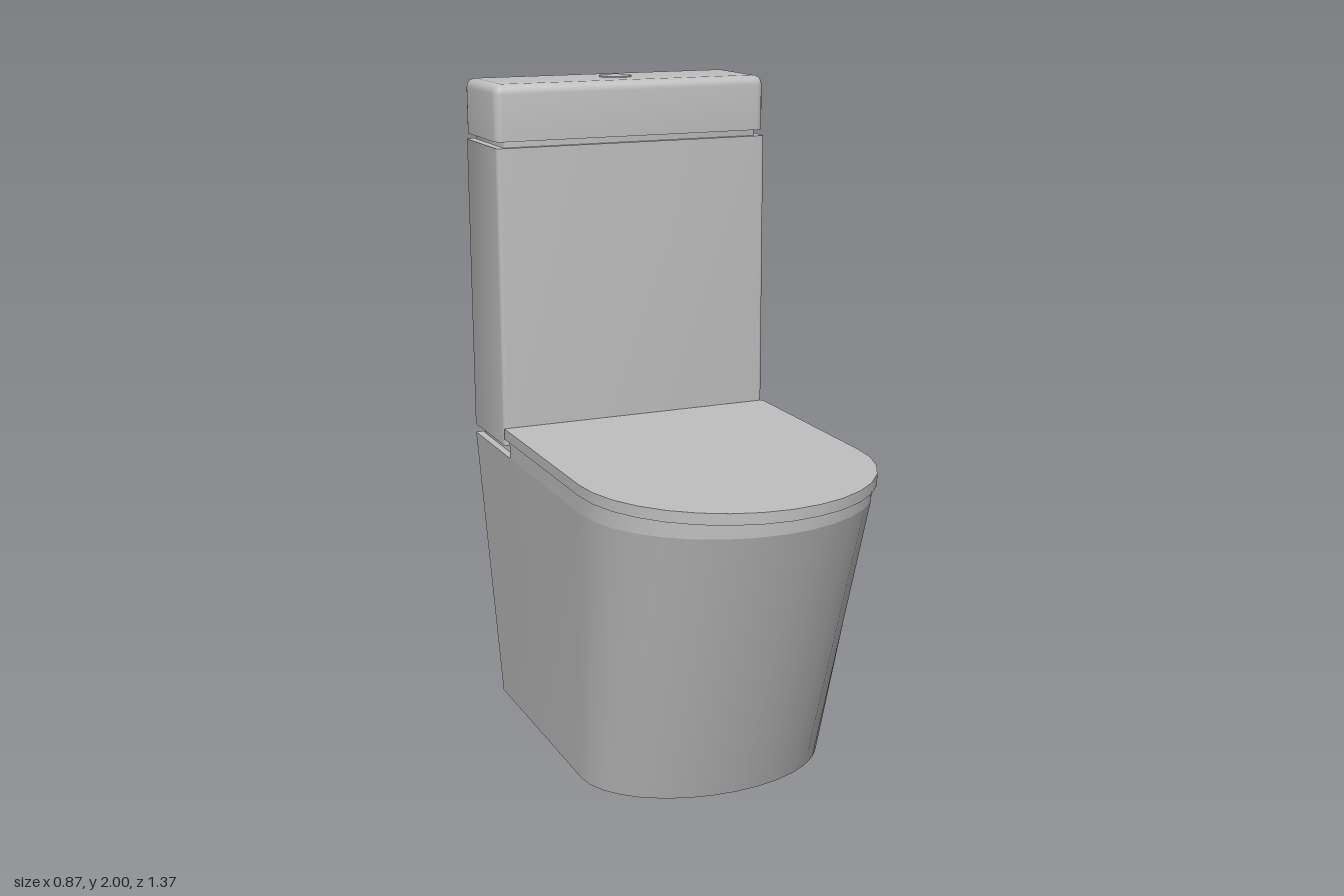
import * as THREE from 'three';
import { toCreasedNormals } from 'three/addons/utils/BufferGeometryUtils.js';

// Closed solid from stacked [y, outline] sections; outlines run from -x past the front to +x
function loft(sections, crease = 0.6) {
  const n = sections[0][1].length, pos = [], idx = [];
  for (const [y, pts] of sections) for (const [x, z] of pts) pos.push(x, y, z);
  for (let s = 0; s < sections.length - 1; s++) {
    for (let i = 0; i < n; i++) {
      const a = s * n + i, b = s * n + (i + 1) % n;
      idx.push(a, b, b + n, a, b + n, a + n);
    }
  }
  const last = (sections.length - 1) * n;
  for (let i = 1; i < n - 1; i++) {
    idx.push(0, i + 1, i, last, last + i, last + i + 1);
  }
  const g = new THREE.BufferGeometry();
  g.setAttribute('position', new THREE.Float32BufferAttribute(pos, 3));
  g.setIndex(idx);
  return toCreasedNormals(g, crease);
}

// Square back, straight sides, elliptical front
function dShape(w, back, mid, front, segments = 16) {
  const pts = [[-w, back]];
  for (let i = 0; i <= segments; i++) {
    const a = Math.PI * i / segments;
    pts.push([-w * Math.cos(a), mid + (front - mid) * Math.sin(a)]);
  }
  pts.push([w, back]);
  return pts;
}

// Rectangle with rounded corners, pulled in by an inset
function roundRect(w, back, front, r, inset = 0) {
  const pts = [], rr = Math.max(r - inset, 0.004);
  const x = w - inset - rr, f = front - inset - rr, b = back + inset + rr;
  [[-x, b, Math.PI * 1.5], [-x, f, Math.PI], [x, f, Math.PI / 2], [x, b, 0]].forEach(([cx, cz, start]) => {
    for (let i = 0; i <= 4; i++) {
      const a = start - i * Math.PI / 8;
      pts.push([cx + rr * Math.cos(a), cz + rr * Math.sin(a)]);
    }
  });
  return pts;
}

export function createModel() {
  const group = new THREE.Group();
  const ceramic = new THREE.MeshStandardMaterial({ color: 0xc0c0c0 });
  ceramic.name = 'ceramic';
  const add = (name, geometry) => {
    const mesh = new THREE.Mesh(geometry, ceramic);
    mesh.name = name;
    group.add(mesh);
    return mesh;
  };

  // Tapered pedestal, narrower and shorter at the floor
  add('pedestal', loft([
    [0, dShape(0.38, -0.64, 0.08, 0.35)],
    [0.88, dShape(0.433, -0.685, 0.25, 0.64)],
  ]));
  // Upright rim and the overhanging seat cover
  add('rim', loft([
    [0.88, dShape(0.433, -0.35, 0.25, 0.64)],
    [0.932, dShape(0.433, -0.35, 0.25, 0.64)],
  ]));
  const cover = dShape(0.437, -0.385, 0.25, 0.687);
  add('seatCover', loft([[0.932, cover], [0.965, cover]]));

  // Tank with recessed joints above and below
  const joint = roundRect(0.41, -0.675, -0.405, 0.01);
  add('lowerJoint', loft([[0.87, joint], [0.92, joint]]));
  const tank = roundRect(0.436, -0.686, -0.39, 0.012);
  add('tank', loft([[0.91, tank], [1.812, tank]]));
  add('upperJoint', loft([[1.8, joint], [1.84, joint]]));

  // Lid with a rounded upper edge
  const lidSections = [[1.83, roundRect(0.436, -0.686, -0.394, 0.025)]];
  for (let i = 0; i <= 5; i++) {
    const a = i * Math.PI / 10, r = 0.028;
    lidSections.push([1.996 - r + r * Math.sin(a), roundRect(0.436, -0.686, -0.394, 0.025, r * (1 - Math.cos(a)))]);
  }
  add('tankLid', loft(lidSections));

  // Flush button
  const button = add('flushButton', new THREE.CylinderGeometry(0.05, 0.05, 0.01, 32));
  button.position.set(0, 1.995, -0.542);

  return group;
}
